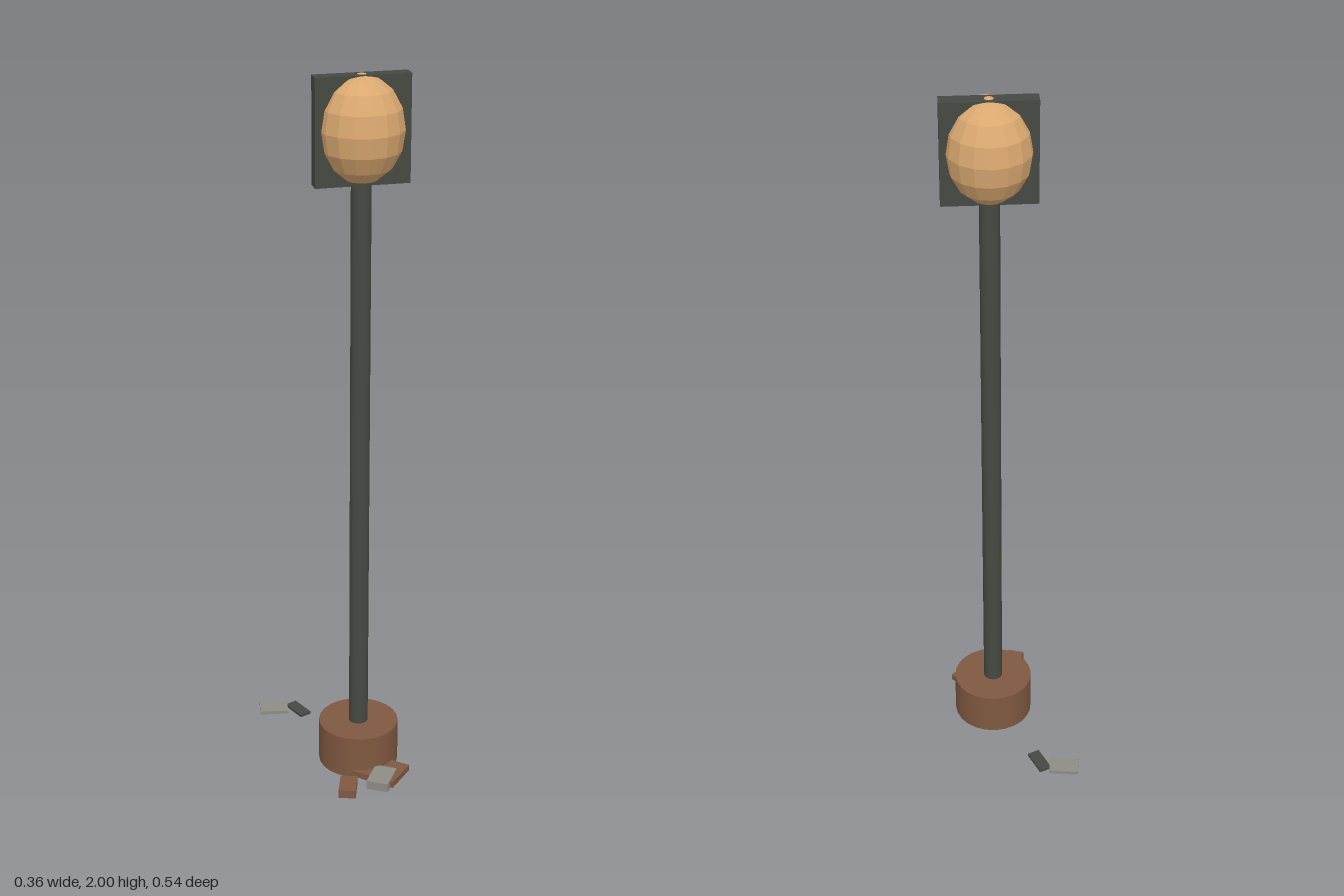
import * as THREE from 'three';

const material = (name, color, flatShading = false) => {
  const m = new THREE.MeshStandardMaterial({ color, flatShading });
  m.name = name;
  return m;
};

export function createModel() {
  const model = new THREE.Group();
  model.name = 'lampPost';
  const dark = material('darkMetal', 0x464942);
  const brown = material('rustBrown', 0x7f5840);
  const grey = material('stoneGrey', 0x8d8c84);
  const amber = material('amberGlass', 0xdaa870, true);

  const add = (parent, name, geometry, mat, x, y, z) => {
    const mesh = new THREE.Mesh(geometry, mat);
    mesh.name = name;
    mesh.position.set(x, y, z);
    parent.add(mesh);
    return mesh;
  };

  // Lamp: all parts share one vertical axis
  const lamp = new THREE.Group();
  lamp.name = 'lamp';
  lamp.position.set(0.053, 0, 0.053);
  model.add(lamp);
  add(lamp, 'base', new THREE.CylinderGeometry(0.113, 0.113, 0.125, 24), brown, 0, 0.067, 0);
  add(lamp, 'pole', new THREE.CylinderGeometry(0.027, 0.027, 1.73, 16), dark, 0, 0.865, 0);
  add(lamp, 'frame', new THREE.BoxGeometry(0.25, 0.283, 0.04), dark, 0, 1.8555, 0);
  const globe = new THREE.SphereGeometry(0.113, 16, 8);
  globe.scale(1, 0.142 / 0.113, 1);
  add(lamp, 'globe', globe, amber, 0, 1.858, 0);

  // Debris on the ground: name, material, centre, size, turn about y
  const debris = new THREE.Group();
  debris.name = 'debris';
  model.add(debris);
  const pieces = [
    ['backSlab', grey, [-0.136, 0.02, -0.239], [0.083, 0.01, 0.057], -0.15],
    ['backShard', dark, [-0.066, 0.02, -0.215], [0.077, 0.008, 0.035], -1.17],
    ['smallBrick', brown, [-0.019, 0.02, 0.226], [0.048, 0.024, 0.076], -0.31],
    ['frontStone', grey, [0.083, 0.021, 0.2075], [0.062, 0.026, 0.087], -0.55],
    ['largeBrick', brown, [0.092, 0.019, 0.165], [0.127, 0.018, 0.103], -0.73],
  ];
  for (const [name, mat, position, size, turn] of pieces) {
    add(debris, name, new THREE.BoxGeometry(...size), mat, ...position).rotation.y = turn;
  }
  return model;
}
